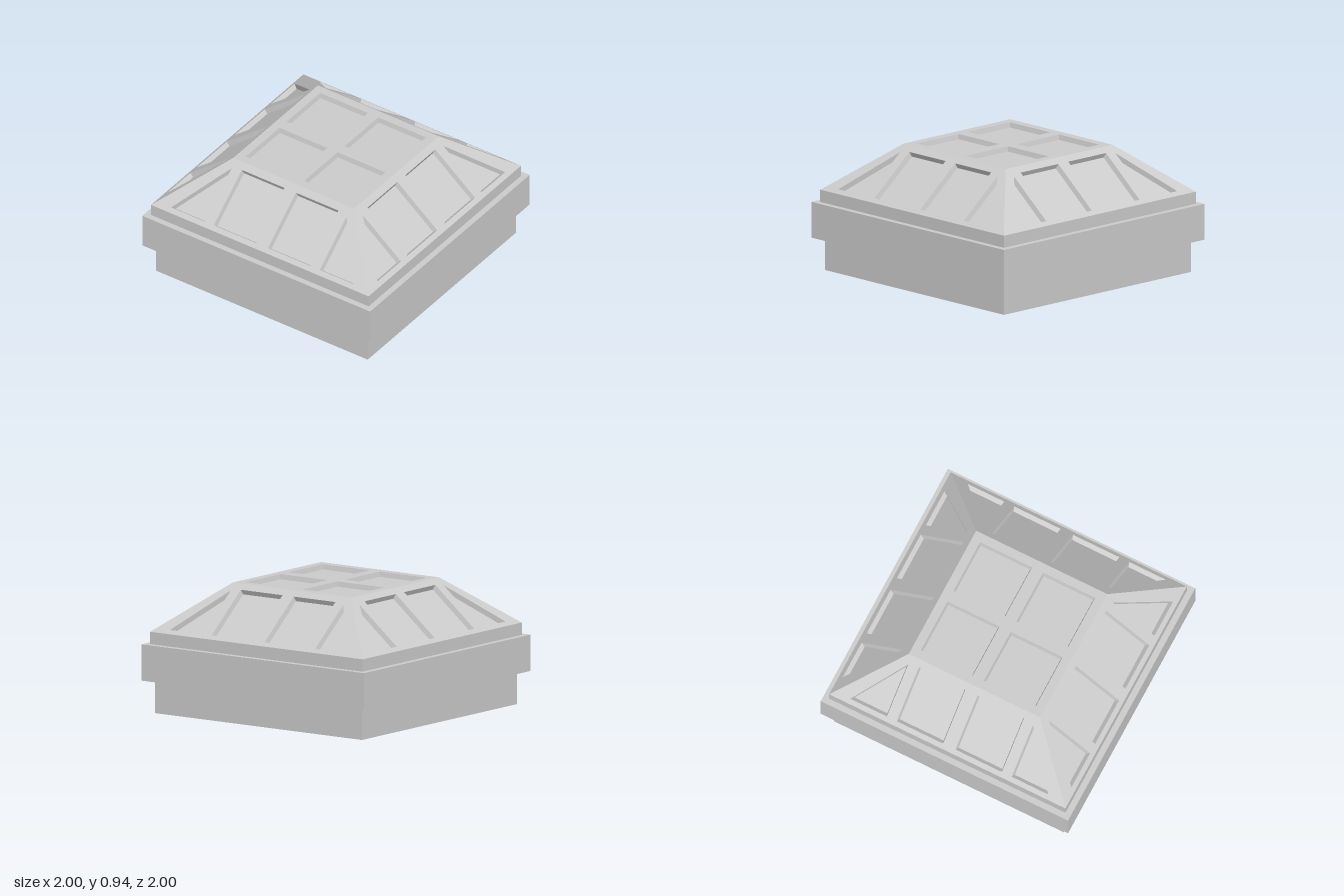
import * as THREE from 'three';

const material = new THREE.MeshStandardMaterial({ color: 0xcccccc, flatShading: true });
const DEPTH = 0.036, DRAFT = 0.01;
const RIM = 0.955, TOP = 0.53, Y_RIM = 0.595, Y_TOP = 0.94;
const SLOPE = Math.hypot(RIM - TOP, Y_TOP - Y_RIM);

function addMesh(parent, name, geometry) {
  const mesh = new THREE.Mesh(geometry, material);
  mesh.name = name;
  parent.add(mesh);
  return mesh;
}

const toPoints = (pairs) => {
  const pts = pairs.map(([x, y]) => new THREE.Vector2(x, y));
  return THREE.ShapeUtils.isClockWise(pts) ? pts.reverse() : pts;
};
const rect = (x0, y0, x1, y1) => toPoints([[x0, y0], [x1, y0], [x1, y1], [x0, y1]]);

// Shrink a convex counter-clockwise outline by a fixed distance
function inset(pts, distance) {
  const normal = (a, b) => new THREE.Vector2(a.y - b.y, b.x - a.x).normalize();
  return pts.map((p, i) => {
    const n1 = normal(pts[(i + pts.length - 1) % pts.length], p);
    const n2 = normal(p, pts[(i + 1) % pts.length]);
    return n1.clone().add(n2).multiplyScalar(distance / (1 + n1.dot(n2))).add(p);
  });
}

// Slightly drafted walls running from the opening down to its floor
function wallGeometry(outer, inner) {
  const positions = [];
  outer.forEach((a, i) => {
    const j = (i + 1) % outer.length;
    const b = outer[j], c = inner[j], d = inner[i];
    positions.push(a.x, a.y, 0, b.x, b.y, 0, c.x, c.y, -DEPTH);
    positions.push(a.x, a.y, 0, c.x, c.y, -DEPTH, d.x, d.y, -DEPTH);
  });
  const geometry = new THREE.BufferGeometry();
  geometry.setAttribute('position', new THREE.Float32BufferAttribute(positions, 3));
  geometry.computeVertexNormals();
  return geometry;
}

// Flat face in local XY, facing +z, with sunken panels
function coffered(name, outline, openings) {
  const group = new THREE.Group();
  group.name = name;
  const shape = new THREE.Shape(outline);
  shape.holes = openings.map((pts) => new THREE.Path(pts));
  addMesh(group, 'panelFrame', new THREE.ShapeGeometry(shape));
  for (const pts of openings) {
    const inner = inset(pts, DRAFT);
    addMesh(group, 'panelWalls', wallGeometry(pts, inner));
    addMesh(group, 'panelFloor', new THREE.ShapeGeometry(new THREE.Shape(inner)))
      .position.z = -DEPTH;
  }
  return group;
}

export function createModel() {
  const model = new THREE.Group();
  model.name = 'cofferedCap';

  // Stacked square tiers
  const tiers = [
    ['base', 1.86, 0, 0.24],
    ['collar', 2, 0.24, 0.505],
    ['rim', RIM * 2, 0.505, Y_RIM],
  ];
  for (const [name, width, y0, y1] of tiers) {
    addMesh(model, name, new THREE.BoxGeometry(width, y1 - y0, width))
      .position.y = (y0 + y1) / 2;
  }

  // Four sloping sides: two square panels and two triangular ones each
  const outline = toPoints([[-RIM, 0], [RIM, 0], [TOP, SLOPE], [-TOP, SLOPE]]);
  const sideOpenings = [-1, 1].flatMap((s) => [
    toPoints([[s * 0.05, 0.04], [s * 0.425, 0.04], [s * 0.425, 0.49], [s * 0.05, 0.49]]),
    toPoints([[s * 0.505, 0.04], [s * 0.8, 0.04], [s * 0.505, 0.472]]),
  ]);
  ['front', 'left', 'back', 'right'].forEach((side, i) => {
    const turn = new THREE.Group();
    turn.name = side + 'Side';
    turn.rotation.y = i * Math.PI / 2;
    const face = coffered(side + 'Slope', outline, sideOpenings);
    face.position.set(0, Y_RIM, RIM);
    face.rotation.x = -Math.atan2(RIM - TOP, Y_TOP - Y_RIM);
    turn.add(face);
    model.add(turn);
  });

  // Flat top with a two by two grid of panels
  const topOpenings = [];
  for (const x of [-0.465, 0.045]) {
    for (const y of [-0.465, 0.045]) topOpenings.push(rect(x, y, x + 0.42, y + 0.42));
  }
  const top = coffered('top', rect(-TOP, -TOP, TOP, TOP), topOpenings);
  top.rotation.x = -Math.PI / 2;
  top.position.y = Y_TOP;
  model.add(top);

  return model;
}
